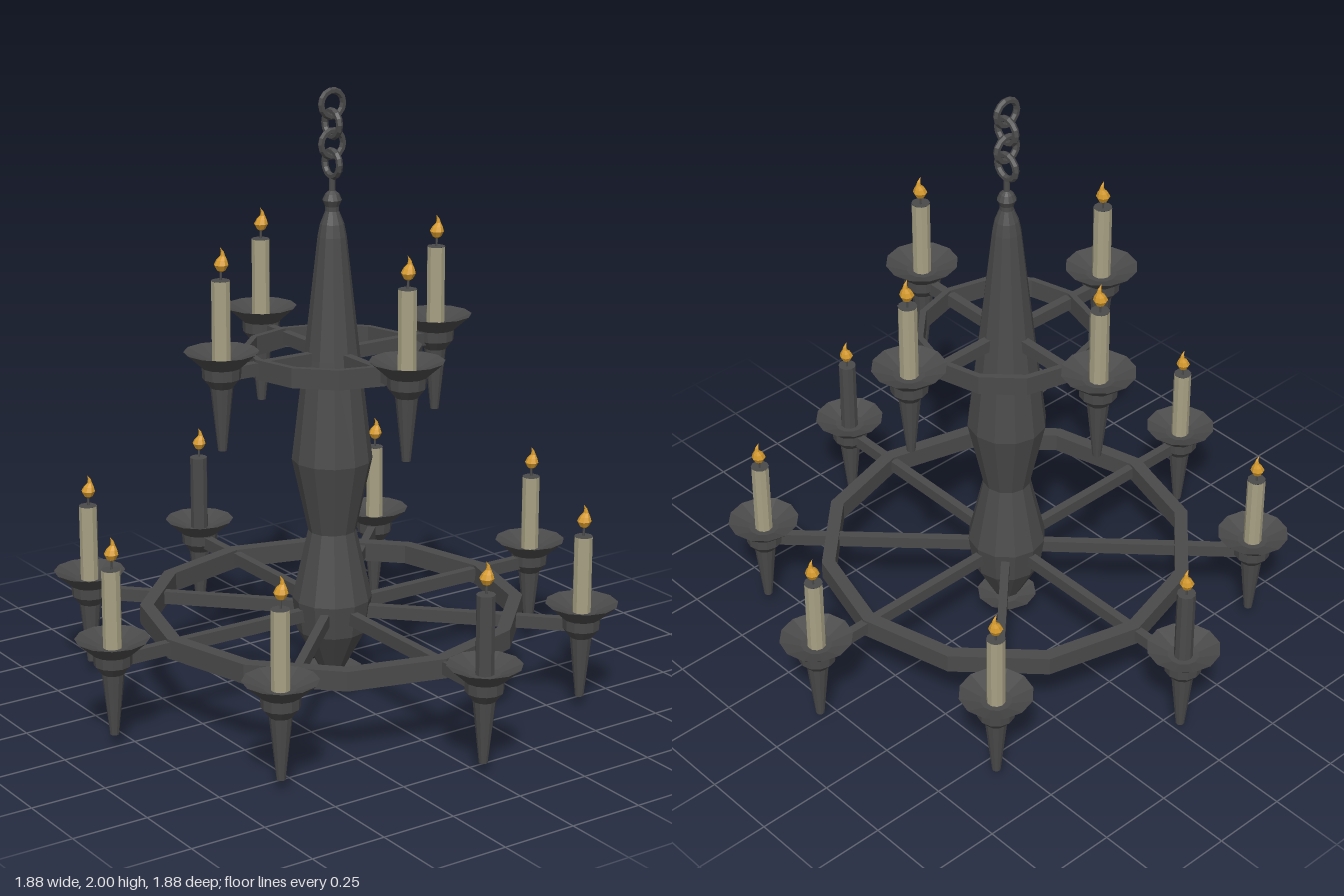
import * as THREE from 'three';

const mat = (color, side = THREE.FrontSide) =>
  new THREE.MeshStandardMaterial({ color, side, flatShading: true });

export function createModel() {
  const root = new THREE.Group();
  const iron = mat(0x4a4a4a, THREE.DoubleSide);
  const wax = mat(0xa8a184);
  const gold = mat(0xd69a2c);

  const add = (parent, name, geometry, material, x = 0, y = 0, z = 0) => {
    const mesh = new THREE.Mesh(geometry, material);
    mesh.name = name;
    mesh.position.set(x, y, z);
    parent.add(mesh);
    return mesh;
  };
  // Turned part from [radius, height] pairs, listed bottom to top
  const turned = (pairs, sides) =>
    new THREE.LatheGeometry(pairs.map(([r, y]) => new THREE.Vector2(r, y)), sides);

  // Central column with its knob and stem
  add(root, 'column', turned([
    [0, 0.08], [0.045, 0.09], [0.115, 0.22], [0.13, 0.33], [0.078, 0.56],
    [0.13, 0.8], [0.09, 1.14], [0.046, 1.53], [0.038, 1.57], [0.022, 1.61],
    [0.022, 1.625], [0.031, 1.645], [0.022, 1.665], [0.01, 1.675], [0.01, 1.72], [0, 1.72],
  ], 12), iron);

  // Pointed finial with a dished top
  add(root, 'finial', turned([[0, 0], [0.035, 0.02], [0.1, 0.08], [0.04, 0.06], [0, 0.06]], 10), iron);

  // Chain of links, each turned a quarter from the one below
  for (let i = 0; i < 4; i++) {
    const link = add(root, 'chainLink', new THREE.TorusGeometry(0.041, 0.011, 6, 14), iron, 0, 1.76 + i * 0.0627, 0);
    link.rotation.y = i % 2 ? 0 : Math.PI / 2;
  }

  // Twelve-sided hoop of rectangular section, corners on the axes
  const hoop = (name, outer, inner, y, height) =>
    add(root, name, turned([
      [inner, -height / 2], [outer, -height / 2], [outer, height / 2],
      [inner, height / 2], [inner, -height / 2],
    ], 12), iron, 0, y, 0);
  hoop('lowerHoop', 0.625, 0.58, 0.284, 0.064);
  hoop('upperHoop', 0.288, 0.268, 1.14, 0.064);

  // Shared candle-holder geometry, with y = 0 at the dish rim
  const holderGeo = turned([
    [0, -0.32], [0.014, -0.32], [0.036, -0.115], [0.06, -0.085], [0.062, -0.05],
    [0.118, 0], [0.05, -0.028], [0, -0.032],
  ], 12);
  const candleGeo = new THREE.CylinderGeometry(0.03, 0.03, 0.26, 10, 1, true);
  const candleTopGeo = new THREE.CircleGeometry(0.03, 10).rotateX(-Math.PI / 2);
  const wickGeo = new THREE.CylinderGeometry(0.004, 0.004, 0.03, 5);
  const flameGeo = turned([
    [0, 0], [0.014, 0.008], [0.023, 0.025], [0.017, 0.04], [0.008, 0.052], [0.005, 0.065], [0, 0.08],
  ], 8);
  // Curl the flame tip sideways
  const p = flameGeo.attributes.position;
  for (let i = 0; i < p.count; i++) {
    const t = Math.max(0, p.getY(i) - 0.035) / 0.045;
    p.setX(i, p.getX(i) + 0.008 * Math.sin(t * Math.PI) - 0.003 * t);
  }

  // Arm, holder, candle and flame at one point of a tier
  const branch = (tier, x, z, rimY, darkCandle) => {
    const length = Math.hypot(x, z);
    const arm = add(tier, 'arm', new THREE.BoxGeometry(length, 0.042, 0.028), iron, x / 2, rimY - 0.075, z / 2);
    arm.rotation.y = -Math.atan2(z, x);
    const holder = new THREE.Group();
    holder.name = 'candleHolder';
    holder.position.set(x, rimY, z);
    tier.add(holder);
    add(holder, 'dishAndSpike', holderGeo, iron);
    add(holder, 'candle', candleGeo, darkCandle ? iron : wax, 0, 0.095, 0);
    add(holder, 'candleTop', candleTopGeo, iron, 0, 0.225, 0);
    add(holder, 'wick', wickGeo, iron, 0.004, 0.24, -0.004);
    add(holder, 'flame', flameGeo, gold, 0.007, 0.247, -0.007);
  };

  const lower = new THREE.Group();
  lower.name = 'lowerTier';
  const upper = new THREE.Group();
  upper.name = 'upperTier';
  root.add(lower, upper);

  for (let i = 0; i < 8; i++) {
    const a = i * Math.PI / 4;
    const r = i % 2 ? 0.815 : 0.82;
    // The front and back candles are dark
    branch(lower, r * Math.cos(a), r * Math.sin(a) - 0.003, 0.362, i % 4 === 2);
    if (i % 2 === 0) branch(upper, 0.41 * Math.cos(a), 0.41 * Math.sin(a) - 0.005, 1.217, false);
  }
  return root;
}
